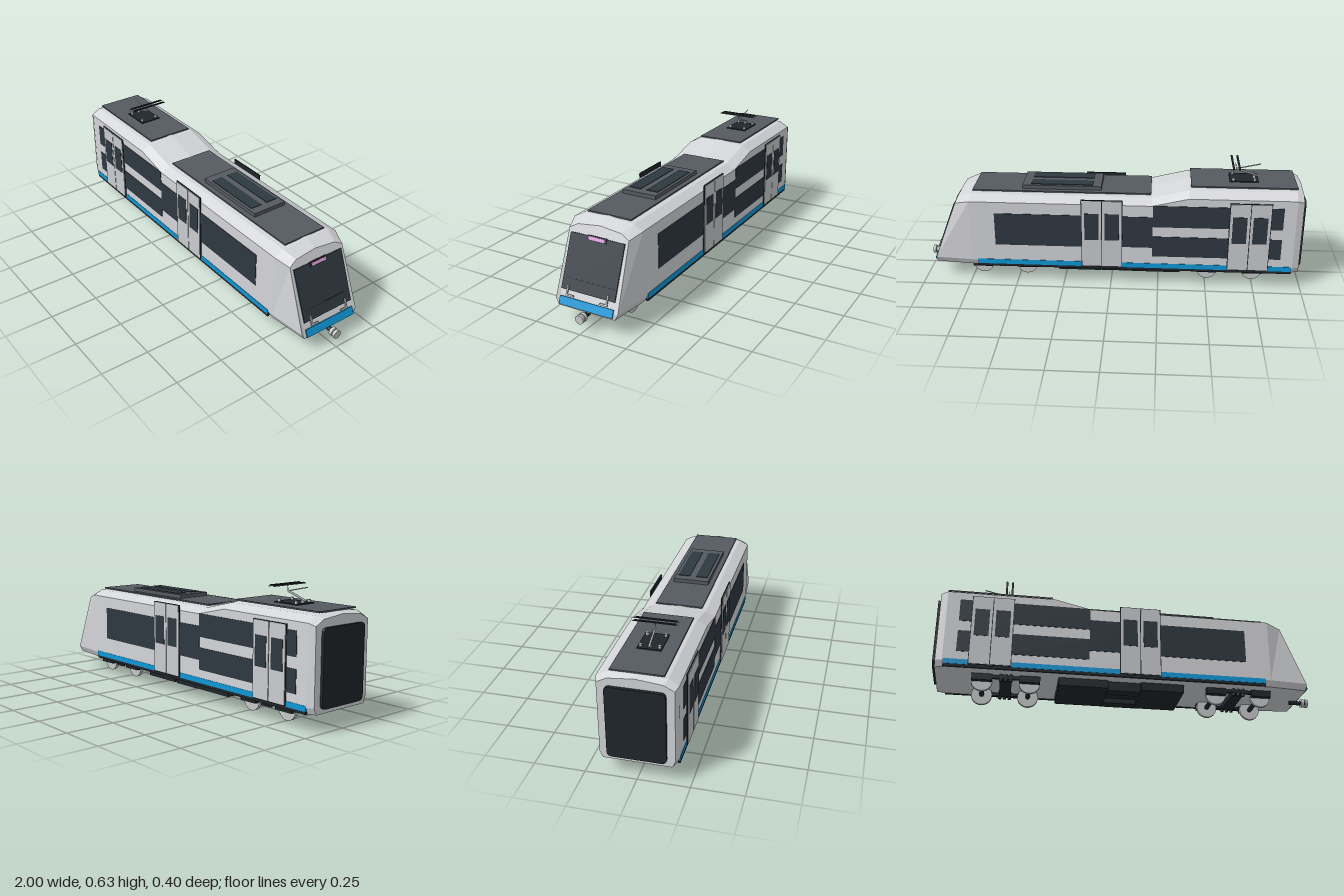
import * as THREE from 'three';

const mat = (name, color) => {
  const m = new THREE.MeshStandardMaterial({ color });
  m.name = name;
  return m;
};

export function createModel() {
  const shell = mat('shell grey', 0xd4d5d9);
  const door = mat('door grey', 0xc9cbcf);
  const glass = mat('dark glass', 0x2e3840);
  const roof = mat('roof grey', 0x555b61);
  const black = mat('black trim', 0x20262b);
  const blue = mat('blue stripe', 0x0e98d8);
  const pink = mat('pink sign', 0xdc9cd8);
  const steel = mat('steel', 0xc4c7c8);

  const model = new THREE.Group();
  model.name = 'railCar';
  const add = (name, geo, m, parent = model) => {
    const mesh = new THREE.Mesh(geo, m);
    mesh.name = name;
    parent.add(mesh);
    return mesh;
  };
  // Box given by its limits on each axis
  const box = (name, m, x0, x1, y0, y1, z0, z1) => {
    const b = add(name, new THREE.BoxGeometry(x1 - x0, y1 - y0, z1 - z0), m);
    b.position.set((x0 + x1) / 2, (y0 + y1) / 2, (z0 + z1) / 2);
    return b;
  };
  // Thin plate on both long sides
  const sidePlates = (name, m, x0, x1, y0, y1, z0, z1) => {
    box(name + 'Left', m, x0, x1, y0, y1, z0, z1);
    box(name + 'Right', m, x0, x1, y0, y1, -z1, -z0);
  };
  // Round or square bar between two points
  const bar = (name, m, a, b, r, sides = 6) => {
    const p = new THREE.Vector3(...a), q = new THREE.Vector3(...b);
    const c = add(name, new THREE.CylinderGeometry(r, r, p.distanceTo(q), sides), m);
    c.position.copy(p).add(q).multiplyScalar(0.5);
    c.quaternion.setFromUnitVectors(new THREE.Vector3(0, 1, 0), q.sub(p).normalize());
    return c;
  };

  // Body shell: half cross-sections [x, y, z], bottom edge up to the ridge
  const slope = 0.385;
  const faceX = (y) => 0.94 - slope * (y - 0.12);
  const section = (x, shoulder, eave, ridge, inset = 0) => [
    [x, 0.088, 0.175 - inset], [x, 0.12, 0.19 - inset],
    [x, shoulder, 0.19 - inset], [x, eave, 0.14 - inset], [x, ridge, 0]];
  const sections = [
    section(-0.985, 0.49, 0.517, 0.53, 0.012),
    section(-0.95, 0.502, 0.53, 0.543),
    section(-0.4, 0.502, 0.53, 0.543),
    section(-0.21, 0.457, 0.483, 0.495),
    section(0.74, 0.457, 0.483, 0.495),
    [[0.94, 0.088, 0.155], [faceX(0.12), 0.12, 0.172], [faceX(0.435), 0.435, 0.163],
      [faceX(0.458), 0.458, 0.12], [faceX(0.47), 0.47, 0]],
  ].map((h) => [...h, ...h.slice(0, 4).reverse().map(([x, y, z]) => [x, y, -z])]);
  const pos = [];
  const tri = (...pts) => pts.forEach((p) => pos.push(...p));
  for (let s = 0; s < sections.length - 1; s++) {
    const a = sections[s], b = sections[s + 1];
    a.forEach((_, i) => {
      const j = (i + 1) % a.length;
      tri(a[i], b[i], b[j]);
      tri(a[i], b[j], a[j]);
    });
  }
  const rear = sections[0], nose = sections[sections.length - 1];
  for (let i = 1; i < 8; i++) {
    tri(rear[0], rear[i], rear[i + 1]);
    tri(nose[0], nose[i + 1], nose[i]);
  }
  const bodyGeo = new THREE.BufferGeometry();
  bodyGeo.setAttribute('position', new THREE.Float32BufferAttribute(pos, 3));
  bodyGeo.computeVertexNormals();
  add('bodyShell', bodyGeo, shell);

  // Rear gangway with rounded corners
  const w = 0.14, y0 = 0.11, y1 = 0.48, r = 0.025;
  const g = new THREE.Shape();
  g.moveTo(-w + r, y0).lineTo(w - r, y0).quadraticCurveTo(w, y0, w, y0 + r);
  g.lineTo(w, y1 - r).quadraticCurveTo(w, y1, w - r, y1);
  g.lineTo(-w + r, y1).quadraticCurveTo(-w, y1, -w, y1 - r);
  g.lineTo(-w, y0 + r).quadraticCurveTo(-w, y0, -w + r, y0);
  const gangway = add('gangway', new THREE.ExtrudeGeometry(g, { depth: 0.02, bevelEnabled: false, curveSegments: 4 }), black);
  gangway.rotation.y = Math.PI / 2;
  gangway.position.x = -1;

  // Side windows
  for (const [a, b, c, d] of [
    [-0.885, -0.82, 0.34, 0.46], [-0.885, -0.82, 0.17, 0.285],
    [-0.615, -0.217, 0.34, 0.46], [-0.615, -0.217, 0.17, 0.285],
    [-0.217, -0.055, 0.22, 0.395], [0.15, 0.61, 0.215, 0.395],
  ]) sidePlates('sideWindow', glass, a, b, c, d, 0.186, 0.1925);

  // Blue stripe and dark sill
  for (const [a, b] of [[-0.945, -0.82], [-0.615, -0.055], [0.15, 0.71]])
    sidePlates('sideStripe', blue, a, b, 0.1, 0.127, 0.184, 0.192);
  sidePlates('sill', black, -0.945, 0.71, 0.086, 0.1, 0.18, 0.19);

  // Double doors: dark frame, two leaves, a window in each
  for (const x of [-0.824, -0.06]) {
    sidePlates('doorFrame', black, x, x + 0.215, 0.103, 0.484, 0.188, 0.195);
    for (const o of [0.004, 0.1095]) {
      sidePlates('doorLeaf', door, x + o, x + o + 0.1015, 0.105, 0.481, 0.194, 0.198);
      sidePlates('doorWindow', glass, x + o + 0.014, x + o + 0.088, 0.26, 0.41, 0.197, 0.1995);
    }
  }

  // Plates lying on the sloped nose
  const nosePlate = (name, m, a, b, z0, z1, out = 0.003) => {
    const p = box(name, m, -0.003, 0.003, 0, (b - a) * Math.hypot(1, slope), z0, z1);
    p.position.set(faceX((a + b) / 2) + out, (a + b) / 2, (z0 + z1) / 2);
    p.rotation.z = Math.atan(slope);
  };
  nosePlate('windscreen', glass, 0.17, 0.42, -0.148, 0.148);
  nosePlate('windscreenLine', black, 0.221, 0.224, -0.132, 0.132, 0.004);
  nosePlate('noseStripe', blue, 0.1, 0.138, -0.148, 0.148);
  nosePlate('signFrame', black, 0.402, 0.425, -0.053, 0.053, 0.006);
  nosePlate('signPanel', pink, 0.406, 0.42, -0.044, 0.044, 0.008);
  for (const s of [-1, 1]) {
    nosePlate('wiperArm', steel, 0.15, 0.195, s * 0.11 - 0.004, s * 0.11 + 0.004, 0.01);
    nosePlate('wiperFoot', steel, 0.147, 0.155, s * 0.093 - 0.022, s * 0.093 + 0.022, 0.01);
  }

  // Coupler
  bar('couplerBar', black, [0.9, 0.078, 0], [0.975, 0.078, 0], 0.012, 8);
  bar('couplerHead', steel, [0.963, 0.078, 0], [0.98, 0.078, 0], 0.022, 16);
  bar('couplerFace', steel, [0.985, 0.078, 0], [1, 0.078, 0], 0.022, 16);
  bar('couplerNeck', black, [0.975, 0.078, 0], [0.99, 0.078, 0], 0.014, 8);

  // Roof panels and cooling unit
  box('upperRoofPanel', roof, -0.955, -0.41, 0.54, 0.547, -0.125, 0.125);
  box('lowerRoofPanel', roof, -0.205, 0.73, 0.491, 0.498, -0.121, 0.121);
  box('coolingUnit', roof, 0.055, 0.47, 0.497, 0.518, -0.094, 0.094);
  for (const z of [-0.048, 0.048])
    box('coolingGrille', glass, 0.1, 0.425, 0.515, 0.521, z - 0.031, z + 0.031);

  // Pantograph
  box('pantographBase', black, -0.76, -0.61, 0.547, 0.552, -0.058, 0.058);
  for (const x of [-0.74, -0.63])
    for (const z of [-0.045, 0, 0.045])
      if (z || x < -0.7) bar('insulator', steel, [x, 0.55, z], [x, 0.565, z], 0.008, 8);
  bar('pantographLowerArm', steel, [-0.76, 0.563, 0], [-0.645, 0.6, 0], 0.005);
  bar('pantographUpperArm', steel, [-0.645, 0.6, 0], [-0.77, 0.628, 0], 0.003);
  bar('pantographStrut', steel, [-0.645, 0.6, 0], [-0.64, 0.632, 0], 0.002);
  for (const x of [-0.655, -0.625]) {
    box('contactStrip', black, x - 0.005, x + 0.005, 0.631, 0.636, -0.1, 0.1);
    bar('contactHorn', steel, [x, 0.63, -0.11], [x, 0.63, 0.11], 0.0025);
  }

  // Bogies: wheels, axles and frames
  for (const [xa, xb] of [[-0.75, -0.51], [0.46, 0.7]]) {
    const mid = (xa + xb) / 2;
    for (const x of [xa, xb]) {
      bar('axle', black, [x, 0.056, -0.09], [x, 0.056, 0.09], 0.012, 8);
      for (const s of [-1, 1]) {
        bar('wheel', steel, [x, 0.056, s * 0.088], [x, 0.056, s * 0.104], 0.054, 24);
        box('axleBox', black, x - 0.052, x + 0.052, 0.05, 0.084, s * 0.118 - 0.012, s * 0.118 + 0.012);
      }
    }
    for (const s of [-1, 1]) {
      box('bogieFrame', black, xa, xb, 0.064, 0.08, s * 0.118 - 0.008, s * 0.118 + 0.008);
      for (const o of [-0.025, 0, 0.025])
        bar('bogieSpring', black, [mid + o, 0.05, s * 0.118], [mid + o, 0.088, s * 0.118], 0.009, 8);
    }
    box('bogieBolster', black, mid - 0.03, mid + 0.03, 0.06, 0.09, -0.11, 0.11);
  }

  // Underfloor equipment
  box('equipmentRear', black, -0.365, -0.11, 0.045, 0.09, -0.13, 0.13);
  box('equipmentFront', black, 0.06, 0.285, 0.045, 0.09, -0.13, 0.13);
  for (const s of [-1, 1])
    box('equipmentTank', black, -0.115, 0.06, 0.038, 0.09, s * 0.085 - 0.03, s * 0.085 + 0.03);
  box('equipmentCentre', black, -0.11, 0.06, 0.065, 0.09, -0.06, 0.06);

  return model;
}
